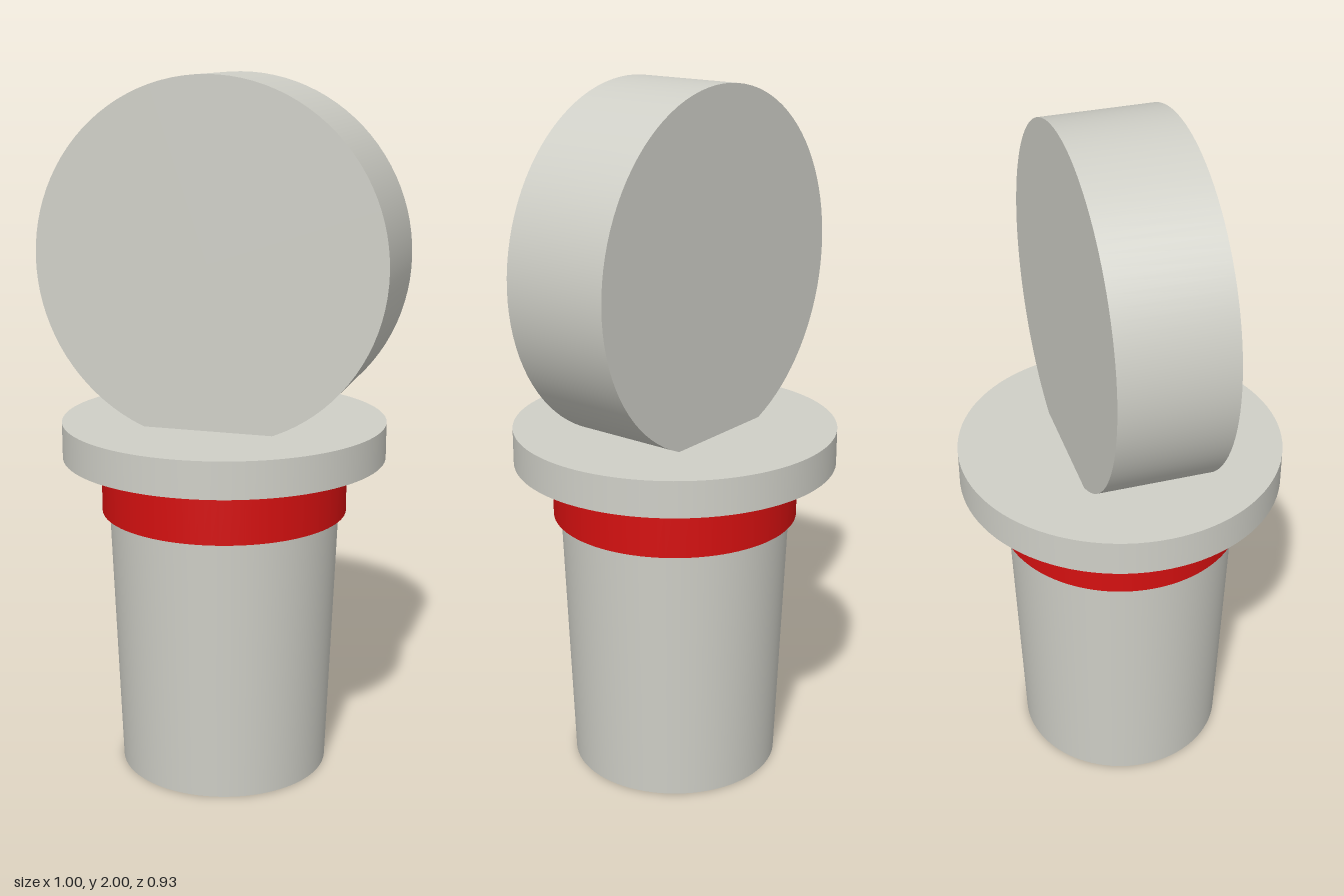
import * as THREE from 'three';

export function createModel() {
  const model = new THREE.Group();
  const grey = new THREE.MeshStandardMaterial({ color: 0xcfcfc7 });
  grey.name = 'warm grey';
  const red = new THREE.MeshStandardMaterial({ color: 0xd41010 });
  red.name = 'red';

  // Upright round part spanning from y0 to y1
  function round(name, rBottom, rTop, y0, y1, material) {
    const mesh = new THREE.Mesh(new THREE.CylinderGeometry(rTop, rBottom, y1 - y0, 96), material);
    mesh.name = name;
    mesh.position.y = (y0 + y1) / 2;
    model.add(mesh);
    return mesh;
  }

  // Tapered plug, sealing band and flange
  round('taperedPlug', 0.302, 0.338, 0, 0.935, grey);
  round('sealingBand', 0.353, 0.353, 0.77, 0.92, red);
  round('flange', 0.463, 0.463, 0.932, 1.036, grey);

  // Disc grip standing on edge, sunk slightly into the flange
  const grip = round('discGrip', 0.5, 0.5, -0.16, 0.16, grey);
  grip.rotation.x = Math.PI / 2;
  grip.position.y = 1.5;

  return model;
}
